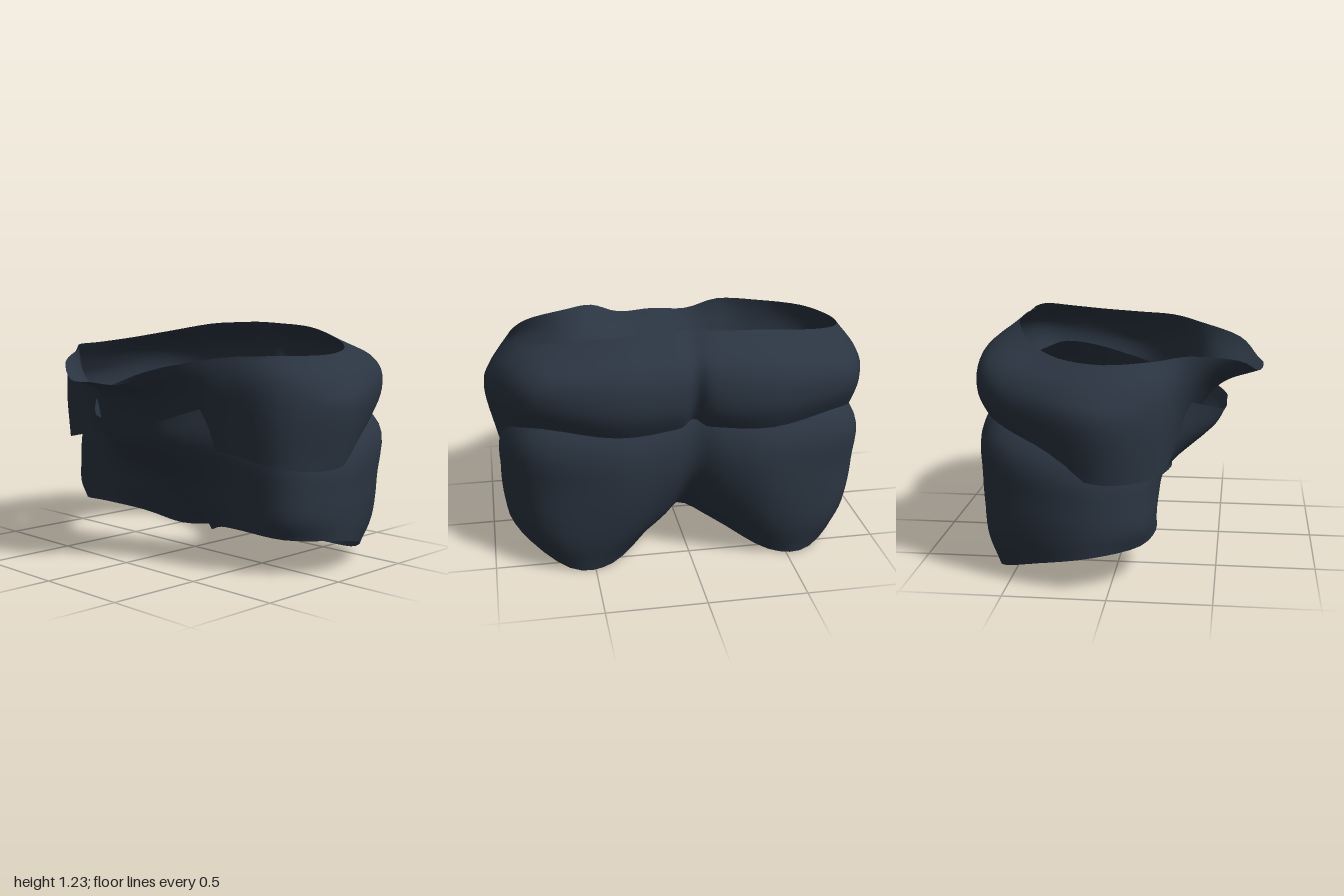
import * as THREE from 'three';

const navy = new THREE.MeshStandardMaterial({ color: 0x2b3542, side: THREE.DoubleSide });
navy.name = 'dark navy cloth';

// Half a cross-section (front centre -> left side -> back centre) mirrored into a smooth closed loop
function loop(half, segments) {
  const pts = half.map(p => new THREE.Vector3(...p));
  const mirrored = pts.slice(1, -1).reverse().map(p => new THREE.Vector3(-p.x, p.y, p.z));
  const curve = new THREE.CatmullRomCurve3([...pts, ...mirrored], true, 'catmullrom', 0.5);
  return Array.from({ length: segments }, (_, i) => curve.getPoint(i / segments));
}

// Smooth open cloth surface through the cross-sections, top to bottom
function cloth(name, rings, rows = 20) {
  const segments = (rings[0].length - 1) * 2 * 4;
  const loops = rings.map(r => loop(r, segments));
  const columns = Array.from({ length: segments }, (_, i) =>
    new THREE.CatmullRomCurve3(loops.map(l => l[i]), false, 'catmullrom', 0.5));
  const position = [], index = [];
  for (let r = 0; r <= rows; r++) {
    for (let i = 0; i < segments; i++) {
      position.push(...columns[i].getPoint(r / rows).toArray());
      if (r === rows) continue;
      const a = r * segments + i, b = r * segments + (i + 1) % segments;
      index.push(a, a + segments, b, b, a + segments, b + segments);
    }
  }
  const geometry = new THREE.BufferGeometry();
  geometry.setAttribute('position', new THREE.Float32BufferAttribute(position, 3));
  geometry.setIndex(index);
  geometry.computeVertexNormals();
  const mesh = new THREE.Mesh(geometry, navy);
  mesh.name = name;
  return mesh;
}

// Waist wrap: rim, upper bulge, widest line, lower edge tucked into the seat at the back
const wrapRim = [
  [0, 0.95, 0.72], [0.2, 0.95, 0.69], [0.37, 1.03, 0.59], [0.55, 1.08, 0.36], [0.76, 1.09, 0.19],
  [0.86, 1.09, -0.03], [0.82, 1.11, -0.24], [0.65, 1.15, -0.4], [0.38, 1.2, -0.51], [0.12, 1.215, -0.53], [0, 1.22, -0.5]];
const wrapUpper = [
  [0, 0.89, 0.54], [0.2, 0.89, 0.52], [0.37, 0.93, 0.45], [0.55, 0.95, 0.34], [0.81, 0.97, 0.23],
  [0.96, 0.95, -0.03], [0.9, 1.0, -0.35], [0.74, 1.05, -0.59], [0.4, 1.07, -0.69], [0.1, 1.07, -0.68], [0, 1.07, -0.64]];
const wrapMiddle = [
  [0, 0.78, 0.43], [0.2, 0.78, 0.41], [0.37, 0.8, 0.36], [0.55, 0.8, 0.31], [0.82, 0.8, 0.24],
  [1, 0.82, -0.03], [0.92, 0.86, -0.37], [0.77, 0.9, -0.61], [0.4, 0.88, -0.724], [0.1, 0.88, -0.7], [0, 0.89, -0.64]];
const wrapEdge = [
  [0, 0.6, 0.31], [0.2, 0.6, 0.3], [0.37, 0.605, 0.28], [0.55, 0.6, 0.28], [0.82, 0.55, 0.22],
  [0.945, 0.54, -0.03], [0.87, 0.6, -0.29], [0.72, 0.72, -0.53], [0.38, 0.68, -0.64], [0.1, 0.7, -0.61], [0, 0.71, -0.56]];

// Shorts: the top curls inward under the wrap; the centre seam runs down front and back
// and meets at the crotch, so the last loop is both leg openings
const shortsTop = [
  [0, 0.745, 0.53], [0.22, 0.75, 0.51], [0.44, 0.83, 0.32], [0.56, 0.8, 0.19], [0.73, 0.78, 0.12], [0.81, 0.82, -0.05],
  [0.73, 0.9, -0.27], [0.57, 0.95, -0.43], [0.35, 0.95, -0.51], [0.14, 0.95, -0.54], [0, 0.95, -0.5]];
const shortsHip = [
  [0, 0.63, 0.46], [0.22, 0.63, 0.44], [0.42, 0.62, 0.29], [0.56, 0.6, 0.22], [0.78, 0.58, 0.16], [0.92, 0.57, -0.05],
  [0.91, 0.66, -0.35], [0.77, 0.72, -0.59], [0.4, 0.72, -0.69], [0.15, 0.72, -0.67], [0, 0.74, -0.62]];
const shortsSeat = [
  [0, 0.42, 0.21], [0.2, 0.43, 0.22], [0.38, 0.42, 0.21], [0.55, 0.42, 0.21], [0.8, 0.4, 0.16], [0.935, 0.4, -0.06],
  [0.91, 0.42, -0.36], [0.76, 0.45, -0.6], [0.4, 0.48, -0.71], [0.15, 0.48, -0.66], [0, 0.49, -0.59]];
const shortsThigh = [
  [0, 0.24, 0.02], [0.15, 0.26, 0.11], [0.34, 0.29, 0.17], [0.54, 0.3, 0.2], [0.8, 0.28, 0.16], [0.935, 0.28, -0.07],
  [0.89, 0.24, -0.36], [0.72, 0.2, -0.61], [0.4, 0.2, -0.66], [0.16, 0.24, -0.55], [0, 0.27, -0.41]];
const shortsHem = [
  [0, 0.1, -0.13], [0.12, 0.11, -0.01], [0.3, 0.17, 0.1], [0.53, 0.205, 0.2], [0.77, 0.185, 0.14], [0.92, 0.17, -0.08],
  [0.86, 0.11, -0.35], [0.63, 0.005, -0.58], [0.41, 0.005, -0.57], [0.17, 0.08, -0.34], [0, 0.1, -0.15]];

export function createModel() {
  const group = new THREE.Group();
  group.name = 'shorts';
  group.add(cloth('waistWrap', [wrapRim, wrapUpper, wrapMiddle, wrapEdge]));
  group.add(cloth('innerShorts', [shortsTop, shortsHip, shortsSeat, shortsThigh, shortsHem]));
  return group;
}
